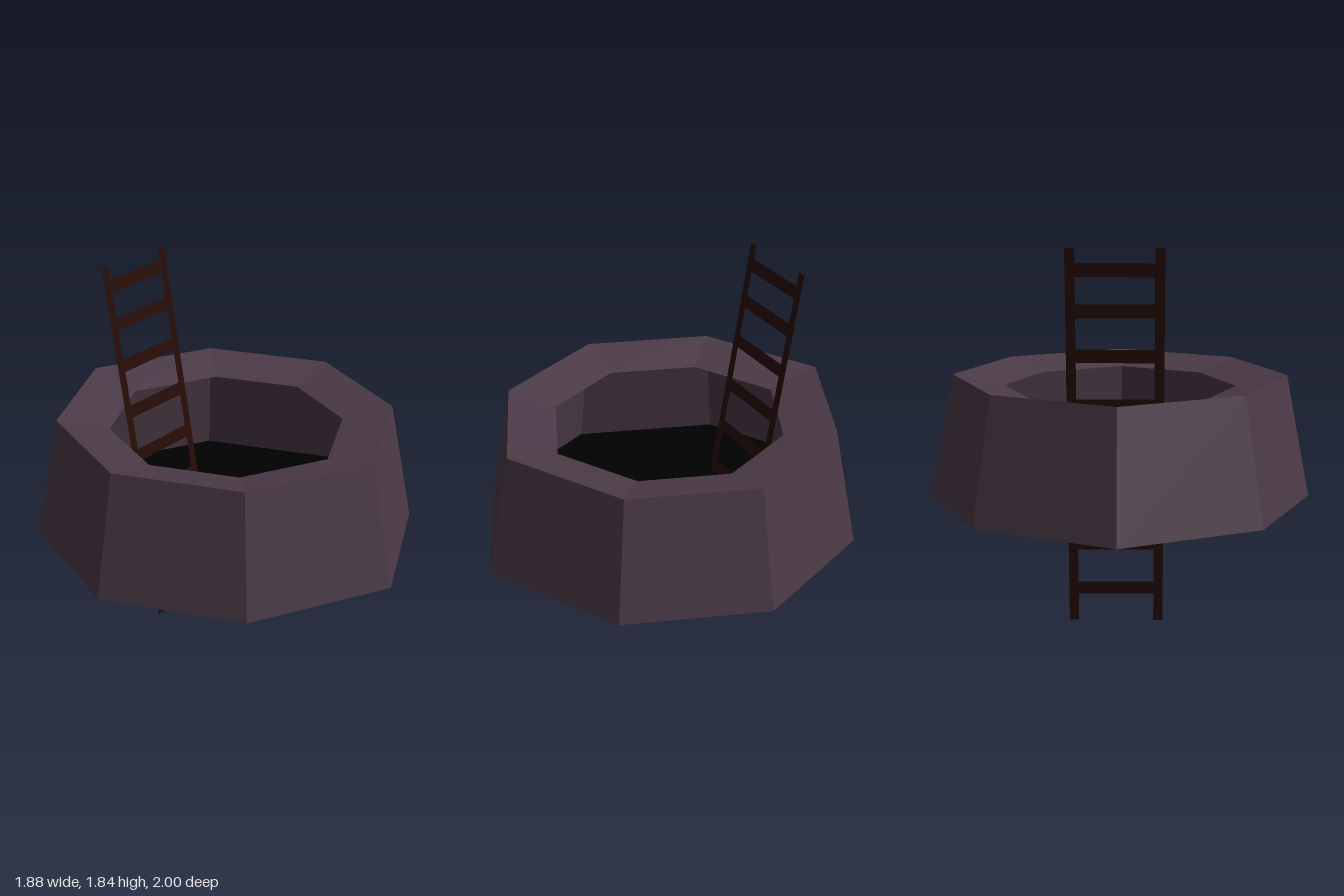
import * as THREE from 'three';

const material = (color) => new THREE.MeshStandardMaterial({ color, flatShading: true, side: THREE.DoubleSide });
const stone = material(0x4b3a47);
const dark = material(0x000000);
const wood = material(0x260904);

// Eight corners of the well's slightly squashed octagon: scaled, at a height, shifted in z
const ring = (scale, y, dz = 0) => [[0, 1], [0.667, 0.667], [0.942, 0], [0.667, -0.667],
  [0, -1], [-0.667, -0.667], [-0.942, 0], [-0.667, 0.667]].map(([x, z]) => [x * scale, y, z * scale + dz]);

// Surface made of the corner lists given for each of the eight sides
function surface(side) {
  const pos = [];
  for (let i = 0; i < 8; i++) pos.push(...side(i, (i + 1) % 8).flat());
  const g = new THREE.BufferGeometry();
  g.setAttribute('position', new THREE.Float32BufferAttribute(pos, 3));
  g.computeVertexNormals();
  return g;
}
const band = (a, b) => surface((i, j) => [a[i], a[j], b[j], a[i], b[j], b[i]]);
const fan = (a, tip) => surface((i, j) => [a[i], a[j], tip]);

export function createModel() {
  const group = new THREE.Group();
  const add = (name, geometry, mat) => {
    const mesh = new THREE.Mesh(geometry, mat);
    mesh.name = name;
    group.add(mesh);
  };

  // Well: open tapered wall, rim dipping inward, dark floor rising slightly to its middle
  const base = ring(1, 0.56), top = ring(0.875, 1.17), lip = ring(0.608, 1.115, 0.006);
  add('wellWall', band(base, top), stone);
  add('wellRim', band(top, lip), stone);
  add('wellFloor', fan(base, [0, 0.645, 0]), dark);

  // Ladder: paper-thin strips leaning back, passing through the floor
  const strip = (name, x0, x1, y0, y1) => {
    const g = new THREE.PlaneGeometry(x1 - x0, y1 - y0);
    g.translate((x0 + x1) / 2, (y0 + y1) / 2, 0);
    const p = g.attributes.position;
    for (let i = 0; i < p.count; i++) p.setZ(i, -0.28 - 0.32 * p.getY(i) / 1.84);
    g.computeVertexNormals();
    add(name, g, wood);
  };
  strip('ladderRail', -0.213, -0.168, 0, 1.84);
  strip('ladderRail', 0.195, 0.24, 0, 1.84);
  for (const y of [0.173, 0.407, 0.64, 0.87, 1.1, 1.338, 1.55, 1.74]) {
    strip('ladderRung', -0.168, 0.195, y - 0.032, y + 0.032);
  }
  return group;
}
